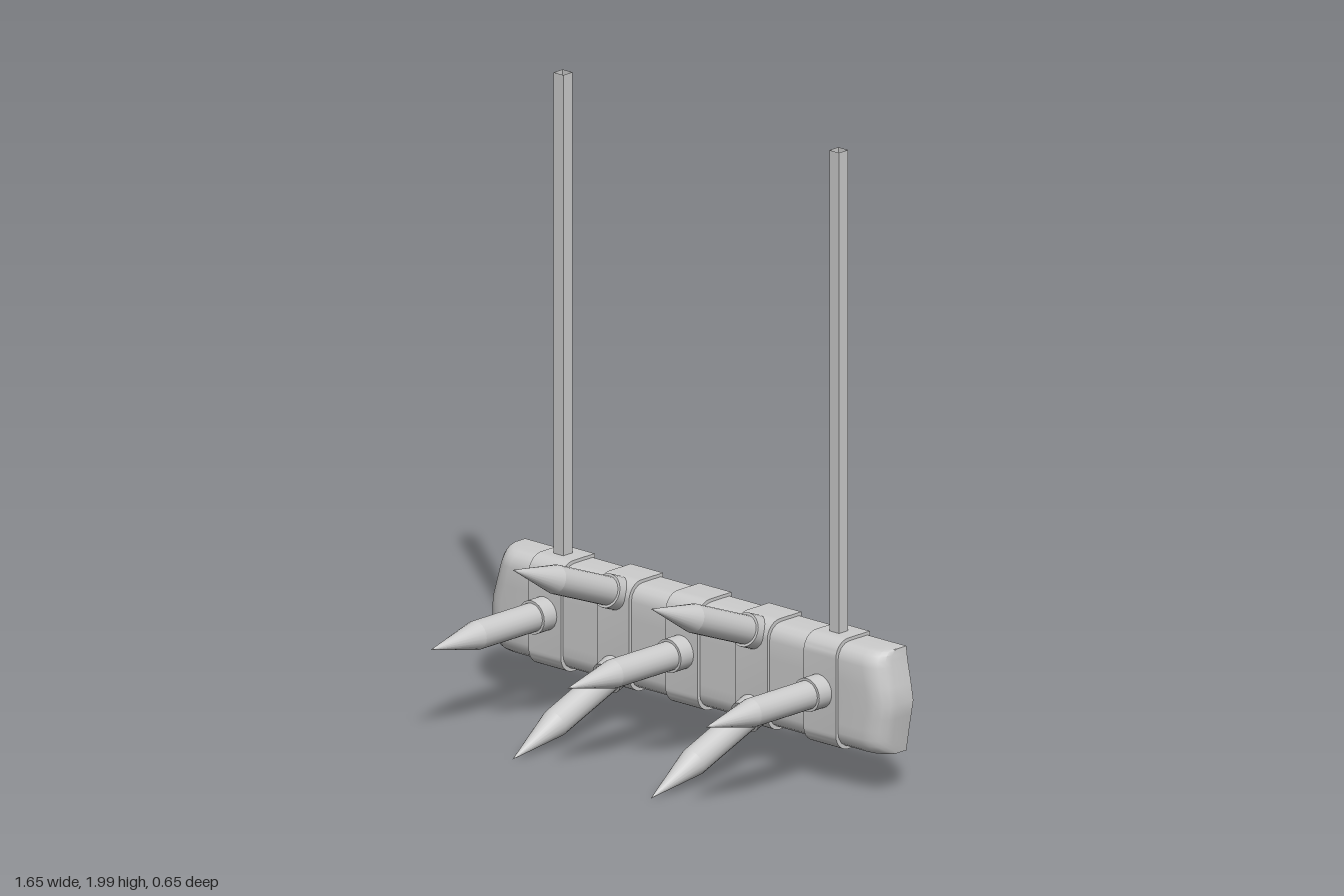
import * as THREE from 'three';
import { toCreasedNormals } from 'three/addons/utils/BufferGeometryUtils.js';

const material = new THREE.MeshStandardMaterial({ color: 0xcccccc });
const openMaterial = new THREE.MeshStandardMaterial({ color: 0xcccccc, side: THREE.DoubleSide, flatShading: true });

function addMesh(parent, name, geometry, mat = material) {
  const mesh = new THREE.Mesh(geometry, mat);
  mesh.name = name;
  parent.add(mesh);
  return mesh;
}

// Piecewise linear lookup of [y, x] pairs
function lookup(table, y) {
  let i = 0;
  while (i < table.length - 2 && y > table[i + 1][0]) i++;
  const [y0, x0] = table[i], [y1, x1] = table[i + 1];
  return x0 + (x1 - x0) * (y - y0) / (y1 - y0);
}

// Beam: flat back, rounded front edges, uneven ends that curve back
function beamGeometry() {
  const y0 = 0.14, y1 = 0.47, back = -0.32, depth = 0.13, r = 0.05;
  const ends = {
    [-1]: [[0.14, 0.80], [0.22, 0.83], [0.30, 0.83], [0.47, 0.78]],
    [1]: [[0.14, 0.795], [0.20, 0.805], [0.31, 0.825], [0.43, 0.80], [0.47, 0.795]],
  };
  // Front rows from bottom to top as [y, distance from back]
  const arc = [0, 1, 2, 3, 4].map(i => i * Math.PI / 8);
  const rows = [
    ...arc.map(a => [y0 + r - r * Math.cos(a), depth - r + r * Math.sin(a)]),
    [0.22, depth], [0.26, depth], [0.305, depth], [0.36, depth],
    ...arc.map(a => [y1 - r + r * Math.sin(a), depth - r + r * Math.cos(a)]),
  ];
  const n = rows.length, loop = 2 * n;

  // Stations run from the -x end to the +x end; each is [side, inset, front set-back]
  const bend = [0, 1, 2, 3, 4].map(i => {
    const a = i * Math.PI / 8;
    return [0.07 * (1 - Math.cos(a)), 0.06 * (1 - Math.sin(a))];
  });
  bend.push([0.2, 0]);
  const stations = [
    ...bend.map(b => [-1, ...b]),
    ...bend.slice().reverse().map(b => [1, ...b]),
  ];

  const pos = [], index = [];
  for (const [side, inset, drop] of stations) {
    const put = (y, t) => pos.push(side * (lookup(ends[side], y) - inset), y, back + t * (1 - drop / depth));
    for (const [y, t] of rows) put(y, t);
    for (let i = n - 1; i >= 0; i--) put(rows[i][0], 0);
  }
  for (let k = 0; k < stations.length - 1; k++) {
    for (let i = 0; i < loop; i++) {
      const j = (i + 1) % loop, a = k * loop, b = a + loop;
      index.push(a + i, b + i, a + j, b + i, b + j, a + j);
    }
  }
  const last = (stations.length - 1) * loop;
  for (let i = 0; i < n - 1; i++) {
    const f = i, g = i + 1, bf = loop - 1 - i, bg = loop - 2 - i;
    index.push(f, g, bf, g, bg, bf);
    index.push(last + f, last + bf, last + g, last + g, last + bf, last + bg);
  }
  const geometry = new THREE.BufferGeometry();
  geometry.setAttribute('position', new THREE.Float32BufferAttribute(pos, 3));
  geometry.setIndex(index);
  return toCreasedNormals(geometry, 0.6);
}

// Strap: beam section slightly enlarged, extruded along x
function strapGeometry(width) {
  const y0 = 0.13, y1 = 0.48, zb = -0.33, zf = -0.18, r = 0.055;
  const s = new THREE.Shape(); // shape x = -z, shape y = y
  s.moveTo(-zb, y0);
  s.lineTo(-zb, y1);
  s.lineTo(-zf + r, y1);
  s.absarc(-zf + r, y1 - r, r, Math.PI / 2, Math.PI, false);
  s.lineTo(-zf, y0 + r);
  s.absarc(-zf + r, y0 + r, r, Math.PI, Math.PI * 1.5, false);
  s.closePath();
  const g = new THREE.ExtrudeGeometry(s, { depth: width, bevelEnabled: false, curveSegments: 5 });
  g.translate(0, 0, -width / 2);
  g.rotateY(Math.PI / 2);
  return toCreasedNormals(g, 0.6);
}

// Spike: collar, shaft and pointed tip along +z, starting at the origin
function makeSpike() {
  const spike = new THREE.Group();
  spike.name = 'spike';
  const part = (name, rTop, rBottom, from, to) => {
    const g = new THREE.CylinderGeometry(rTop, rBottom, to - from, 20);
    g.rotateX(Math.PI / 2);
    g.translate(0, 0, (from + to) / 2);
    addMesh(spike, name, g);
  };
  part('spikeCollar', 0.053, 0.053, -0.03, 0.055);
  part('spikeShaft', 0.045, 0.045, 0, 0.3);
  part('spikeTip', 0, 0.045, 0.3, 0.5);
  return spike;
}

export function createModel() {
  const model = new THREE.Group();
  model.name = 'hangingSpikedBeam';
  addMesh(model, 'beam', beamGeometry());

  // Straps, with single spikes and splayed pairs alternating
  const strap = strapGeometry(0.133);
  const tilt = 0.37;
  [-0.568, -0.286, -0.003, 0.285, 0.568].forEach((x, i) => {
    addMesh(model, 'strap', strap).position.x = x;
    for (const dir of i % 2 ? [-1, 1] : [0]) {
      const spike = makeSpike();
      spike.position.set(x - 0.003, 0.31 + dir * 0.119, dir ? -0.206 : -0.18);
      spike.rotation.x = -dir * tilt;
      model.add(spike);
    }
  });

  // Hanging rods: open square tubes
  for (const x of [-0.575, 0.564]) {
    const rod = new THREE.CylinderGeometry(0.02 * Math.SQRT2, 0.02 * Math.SQRT2, 1.54, 4, 1, true);
    rod.rotateY(Math.PI / 4);
    addMesh(model, 'hangingRod', rod, openMaterial).position.set(x, 1.23, -0.268);
  }
  return model;
}
